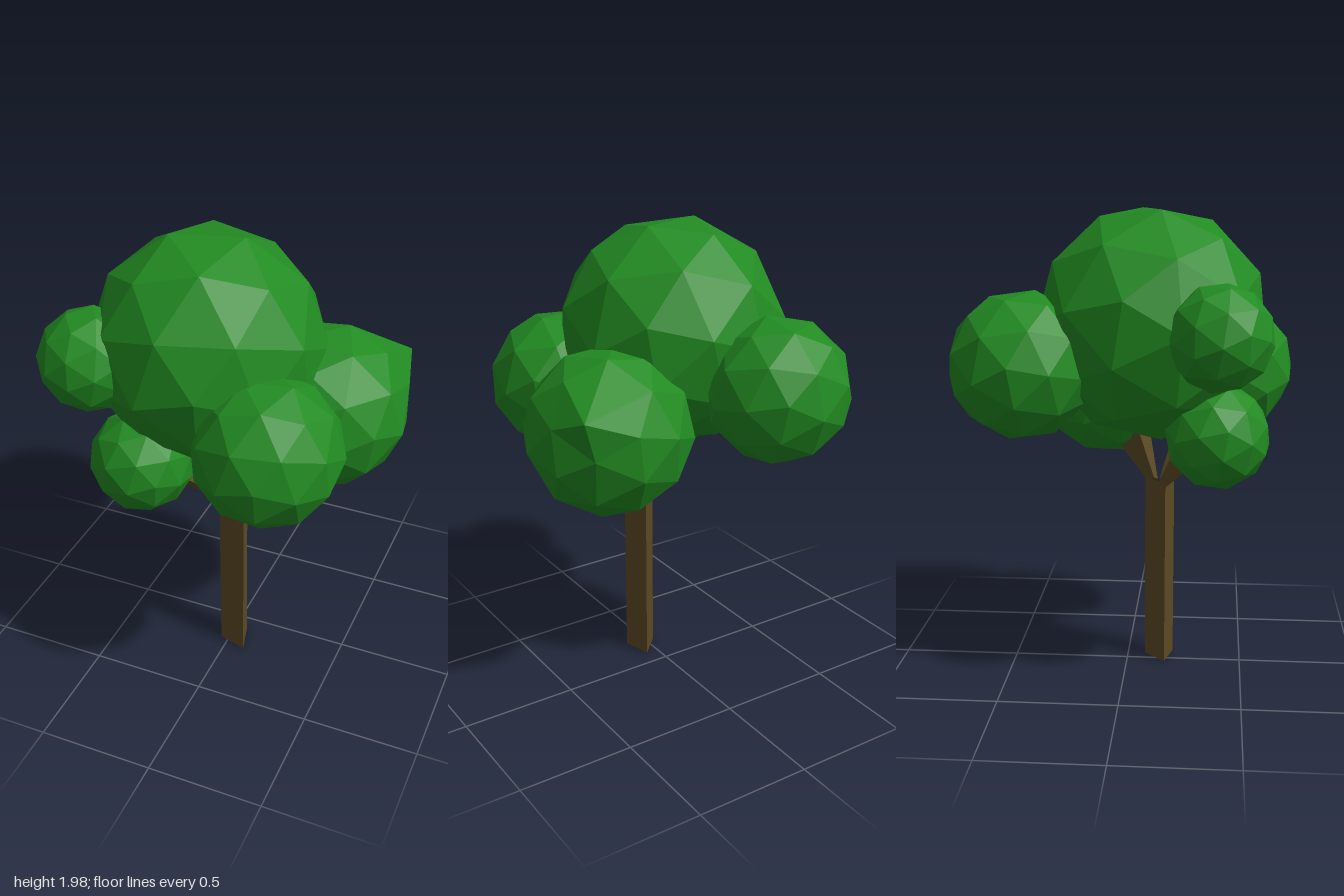
import * as THREE from 'three';

const leafMat = new THREE.MeshStandardMaterial({ color: 0x228b22, flatShading: true });
const barkMat = new THREE.MeshStandardMaterial({ color: 0x5c4a24, flatShading: true });

// Faceted ball of leaves; an optional tip pulls its nearest vertex out to a corner
function foliage(name, center, radius, turn, tip) {
  const geo = new THREE.IcosahedronGeometry(radius, 1);
  geo.rotateX(turn[0]).rotateY(turn[1]).translate(...center);
  if (tip) {
    const target = new THREE.Vector3(...tip);
    const pos = geo.attributes.position;
    const v = new THREE.Vector3();
    let nearest = Infinity;
    for (let i = 0; i < pos.count; i++) {
      nearest = Math.min(nearest, v.fromBufferAttribute(pos, i).distanceTo(target));
    }
    for (let i = 0; i < pos.count; i++) {
      if (v.fromBufferAttribute(pos, i).distanceTo(target) < nearest + 1e-4) pos.setXYZ(i, ...tip);
    }
    geo.computeVertexNormals();
  }
  const mesh = new THREE.Mesh(geo, leafMat);
  mesh.name = name;
  return mesh;
}

// Three-sided branch that widens from the trunk towards the leaves
function branch(name, from, to, topRadius) {
  const a = new THREE.Vector3(...from);
  const b = new THREE.Vector3(...to);
  const dir = b.clone().sub(a);
  const geo = new THREE.CylinderGeometry(topRadius, 0.025, dir.length(), 3, 1, false, Math.PI / 4);
  const mesh = new THREE.Mesh(geo, barkMat);
  mesh.quaternion.setFromUnitVectors(new THREE.Vector3(0, 1, 0), dir.normalize());
  mesh.position.copy(a).add(b).multiplyScalar(0.5);
  mesh.name = name;
  return mesh;
}

export function createModel() {
  const tree = new THREE.Group();
  tree.name = 'tree';

  // Triangular trunk, open at both ends
  const trunk = new THREE.Mesh(
    new THREE.CylinderGeometry(0.075, 0.074, 0.82, 3, 1, true, Math.PI / 4), barkMat);
  trunk.position.set(0.036, 0.41, 0.147);
  trunk.name = 'trunk';
  tree.add(trunk);

  // Branches
  tree.add(
    branch('frontBranch', [0.06, 0.81, 0.16], [0.22, 1.09, 0.32], 0.1),
    branch('sideBranch', [0.06, 0.81, 0.11], [0.21, 1.06, -0.01], 0.11),
    branch('lowBranch', [-0.01, 0.81, 0.16], [-0.19, 1.03, 0.31], 0.08),
  );

  // Crown
  tree.add(
    foliage('mainCrown', [-0.1, 1.52, 0.11], 0.485, [0.55, 0.3]),
    foliage('backFoliage', [-0.275, 1.365, -0.405], 0.305, [0.2, 0.5]),
    foliage('sideFoliage', [0.34, 1.22, -0.1], 0.35, [0.5, 0.9], [0.61, 1.39, -0.39]),
    foliage('frontFoliage', [0.275, 1.285, 0.41], 0.305, [0.55, 0.2]),
    foliage('upperSmallFoliage', [-0.485, 1.51, 0.39], 0.212, [0.3, 1.1]),
    foliage('lowerSmallFoliage', [-0.28, 1.085, 0.385], 0.217, [0.55, 0.7]),
  );
  return tree;
}
